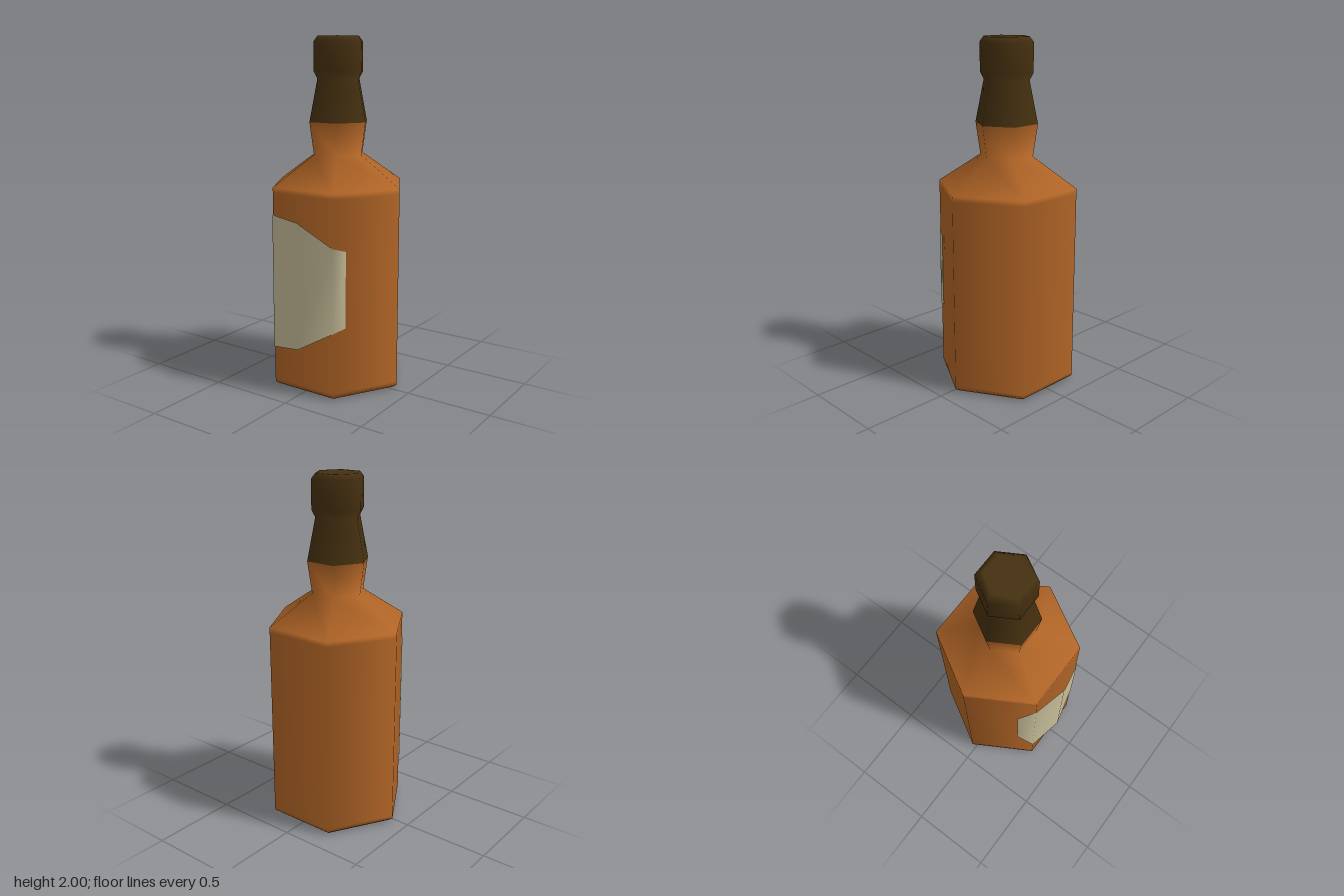
import * as THREE from 'three';

// Six-sided turned part from [radius, height] pairs, with corners on the x axis
function hexTurned(name, profile, material) {
  const points = profile.map(([r, y]) => new THREE.Vector2(r, y));
  const mesh = new THREE.Mesh(new THREE.LatheGeometry(points, 6, Math.PI / 2), material);
  mesh.name = name;
  mesh.position.z = -0.025;
  return mesh;
}

export function createModel() {
  const amberGlass = new THREE.MeshStandardMaterial({ color: 0xb06426 });
  const darkCap = new THREE.MeshStandardMaterial({ color: 0x453010 });
  const paper = new THREE.MeshStandardMaterial({ color: 0xc8be9a, side: THREE.DoubleSide });
  amberGlass.name = 'amberGlass';
  darkCap.name = 'darkCap';
  paper.name = 'paper';

  const group = new THREE.Group();
  group.name = 'bottle';

  // Glass body, shoulder and neck
  group.add(hexTurned('glassBody', [
    [0, 0], [0.37, 0], [0.385, 0.003], [0.408, 0.02], [0.408, 0.04],
    [0.408, 1.14], [0.408, 1.17], [0.155, 1.34], [0.182, 1.525],
  ], amberGlass));

  // Flared sleeve and stopper
  group.add(hexTurned('cap', [
    [0.182, 1.525], [0.132, 1.765], [0.154, 1.805],
    [0.154, 1.97], [0.13, 2], [0.115, 2], [0, 2],
  ], darkCap));

  // Paper label wrapped over three faces: x, z, bottom, top of each fold
  const folds = [
    [-0.262, 0.243, 0.41, 0.84],
    [-0.207, 0.332, 0.235, 1.015],
    [0, 0.38, 0.273, 1.0],
    [0.207, 0.332, 0.393, 0.872],
    [0.245, 0.264, 0.415, 0.85],
  ];
  const sheet = new THREE.PlaneGeometry(1, 1, folds.length - 1, 1);
  folds.forEach(([x, z, bottom, top], i) => {
    sheet.attributes.position.setXYZ(i, x, top, z);
    sheet.attributes.position.setXYZ(i + folds.length, x, bottom, z);
  });
  sheet.computeVertexNormals();
  const label = new THREE.Mesh(sheet, paper);
  label.name = 'label';
  group.add(label);

  return group;
}
